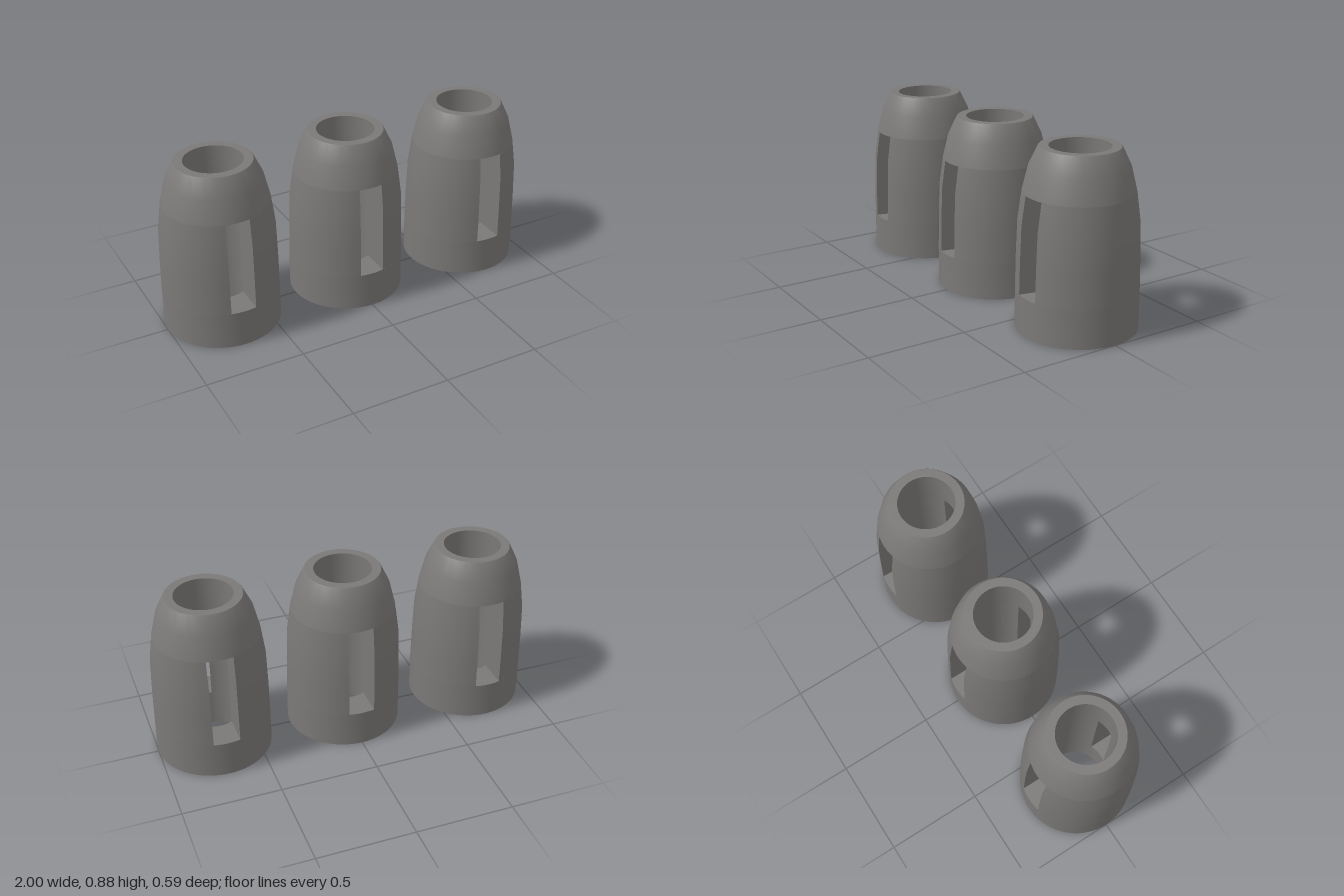
import * as THREE from 'three';
import { toCreasedNormals } from 'three/addons/utils/BufferGeometryUtils.js';

const BORE = 0.145, SLOT_BOTTOM = 0.19, SLOT_TOP = 0.665, CREASE = 0.6;

// Outer profile of the tapered sleeve: [radius, height]
const LOWER = [[0.294, 0], [0.293, SLOT_BOTTOM]];
const MIDDLE = [[0.293, SLOT_BOTTOM], [0.29, 0.35], [0.284, 0.525], [0.265, SLOT_TOP]];
const UPPER = [[0.265, SLOT_TOP], [0.236, 0.785], [0.194, 0.873], [0.19, 0.878]];

// Closed ring: outer profile going up, then the bore going down
function ring(profile) {
  const y0 = profile[0][1], y1 = profile[profile.length - 1][1];
  const points = [...profile, [BORE, y1], [BORE, y0], profile[0]];
  const lathe = new THREE.LatheGeometry(points.map(([r, y]) => new THREE.Vector2(r, y)), 72);
  return toCreasedNormals(lathe, CREASE);
}

// Half shell between the slots; angles run from +z towards +x.
// start and end give the angle at which each slot wall meets the outside and the bore.
function shell(start, end) {
  const N = 32, loop = 2 * N + 2, positions = [], index = [];
  MIDDLE.forEach(([r, y], level) => {
    for (let i = 0; i < loop; i++) {
      const outer = i <= N;
      const radius = outer ? r : BORE;
      const t = (outer ? i : loop - 1 - i) / N;
      const a = THREE.MathUtils.lerp(start(radius, outer), end(radius, outer), t);
      positions.push(radius * Math.sin(a), y, radius * Math.cos(a));
      if (level === 0) continue;
      const j = (i + 1) % loop, low = (level - 1) * loop, high = level * loop;
      index.push(low + i, low + j, high + i, low + j, high + j, high + i);
    }
  });
  const geometry = new THREE.BufferGeometry();
  geometry.setAttribute('position', new THREE.Float32BufferAttribute(positions, 3));
  geometry.setIndex(index);
  return toCreasedNormals(geometry, CREASE);
}

// x of a slanted front wall at a given radius
const slanted = (r) => -0.033 - 0.032 * (r - BORE) / (0.29 - BORE);

export function createModel() {
  const model = new THREE.Group();
  const gray = new THREE.MeshStandardMaterial({ color: 0x7b7977 });
  gray.name = 'warm gray';

  const parts = {
    baseRing: ring(LOWER),
    leftShell: shell((r) => Math.asin(0.063 / r), (r) => Math.PI - Math.asin(0.068 / r)),
    rightShell: shell((r) => Math.PI + Math.asin(0.066 / r),
      (r) => 2 * Math.PI + Math.asin(slanted(r) / r)),
    taperedNose: ring(UPPER),
  };

  // Three identical sleeves in a row
  ['rightSleeve', 'middleSleeve', 'leftSleeve'].forEach((name, i) => {
    const sleeve = new THREE.Group();
    sleeve.name = name;
    sleeve.position.x = (i - 1) * 0.706;
    for (const [part, geometry] of Object.entries(parts)) {
      const mesh = new THREE.Mesh(geometry, gray);
      mesh.name = part;
      sleeve.add(mesh);
    }
    model.add(sleeve);
  });
  return model;
}
